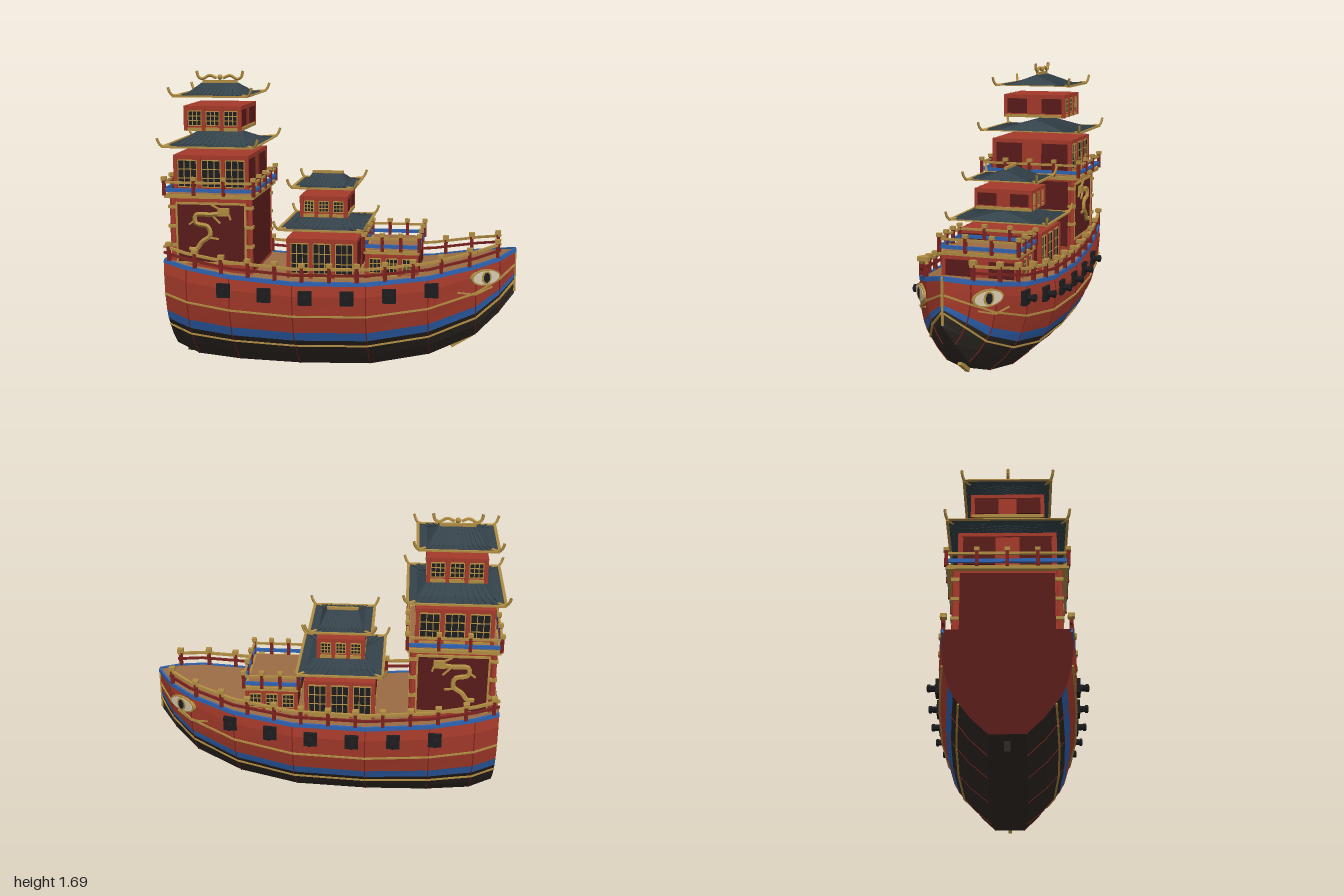
import * as THREE from 'three';

const C = { red: 0xa53a2a, dark: 0x5a1c1a, gold: 0xb08c42, roof: 0x35434b, blue: 0x2f64b4, hull: 0x2e2823,
  deck: 0x9a6c44, black: 0x1d1d20, post: 0x7c221f, cream: 0xd8cbb0 };
const mats = {};
const mat = (c) => (mats[c] ??= new THREE.MeshStandardMaterial({ color: C[c], flatShading: true, side: THREE.DoubleSide }));
const V = (x, y, z) => new THREE.Vector3(x, y, z);

function add(parent, name, geo, color, x = 0, y = 0, z = 0) {
  const m = new THREE.Mesh(geo, mat(color));
  m.name = name;
  m.position.set(x, y, z);
  parent.add(m);
  return m;
}
const box = (p, name, color, w, h, d, x, y, z) => add(p, name, new THREE.BoxGeometry(w, h, d), color, x, y, z);

// square bar between two points
function beam(p, name, color, a, b, h, d = h) {
  const m = box(p, name, color, d, h, a.distanceTo(b), 0, 0, 0);
  m.position.copy(a).add(b).multiplyScalar(0.5);
  m.lookAt(b);
  return m;
}
const chain = (p, name, color, pts, h, d) => pts.slice(1).forEach((b, i) => beam(p, name, color, pts[i], b, h, d));
const tube = (p, name, color, pts, r, n = 8) =>
  add(p, name, new THREE.TubeGeometry(new THREE.CatmullRomCurve3(pts), n, r, 5), color);

// surface between two rows of points
function strip(p, name, color, A, B) {
  const pos = [];
  for (let i = 0; i < A.length - 1; i++)
    for (const v of [A[i], A[i + 1], B[i + 1], A[i], B[i + 1], B[i]]) pos.push(v.x, v.y, v.z);
  const g = new THREE.BufferGeometry();
  g.setAttribute('position', new THREE.Float32BufferAttribute(pos, 3));
  g.computeVertexNormals();
  return add(p, name, g, color);
}

// hull stations: x, keel height, rail height, half beam
const ST = [[-0.98, 0.09, 0.645, 0.32], [-0.85, 0.03, 0.61, 0.335], [-0.6, 0.008, 0.57, 0.355], [-0.24, 0, 0.545, 0.365],
  [0.17, 0.012, 0.55, 0.35], [0.51, 0.08, 0.585, 0.295], [0.77, 0.2, 0.64, 0.21], [0.9, 0.33, 0.67, 0.12], [0.985, 0.44, 0.7, 0.004]];
// section profile: fraction of height, fraction of beam
const PROFILE = [[0, 0.28], [0.15, 0.55], [0.35, 0.81], [0.45, 0.89], [0.65, 0.98], [0.85, 1.01], [1, 0.98]];
const XS = ST.map((s) => s[0]);

function lerpRow(rows, v) {
  let i = 0;
  while (i < rows.length - 2 && v > rows[i + 1][0]) i++;
  const k = (v - rows[i][0]) / (rows[i + 1][0] - rows[i][0]);
  return rows[i].map((a, j) => a + (rows[i + 1][j] - a) * k);
}
function hullPoint(x, t, s, up = 0, out = 0) {
  const [, k, top, w] = lerpRow(ST, x);
  return V(x, k + (top - k) * t + up, s * (w * lerpRow(PROFILE, t)[1] + out));
}
const line = (t, s, up, out) => XS.map((x) => hullPoint(x, t, s, up, out));

function makeHull(g) {
  const colors = ['hull', 'hull', 'blue', 'red', 'red', 'red'];
  for (const s of [1, -1]) {
    colors.forEach((c, i) => {
      const a = line(PROFILE[i][0], s), b = line(PROFILE[i + 1][0], s);
      s > 0 ? strip(g, 'hullPlanking', c, a, b) : strip(g, 'hullPlanking', c, b, a);
    });
    for (const t of [0.28, 0.64]) chain(g, 'hullTrim', 'gold', line(t, s, 0, 0.004), 0.01);
    chain(g, 'gunwale', 'blue', line(1, s, -0.008, 0.002), 0.024, 0.012);
    XS.slice(1, -1).forEach((x) => chain(g, 'hullSeam', 'post', PROFILE.map(([t]) => hullPoint(x, t, s)), 0.005));
    // bulwark rail
    chain(g, 'upperRail', 'gold', line(1, s, 0.075).slice(0, -1), 0.014, 0.018);
    chain(g, 'lowerRail', 'post', line(1, s, 0.04).slice(0, -1), 0.014, 0.012);
    for (let i = 0; i < 13; i++) {
      const q = hullPoint(-0.95 + i * 0.153, 1, s);
      box(g, 'railPost', 'post', 0.02, 0.09, 0.02, q.x, q.y + 0.045, q.z);
      box(g, 'railCap', 'gold', 0.034, 0.022, 0.034, q.x, q.y + 0.095, q.z);
    }
    // gun ports
    for (let i = 0; i < 6; i++) {
      const q = hullPoint(-0.63 + i * 0.232, 0.84, s);
      box(g, 'gunPort', 'black', 0.075, 0.08, 0.03, q.x, q.y, q.z);
      const barrel = add(g, 'cannon', new THREE.CylinderGeometry(0.017, 0.021, 0.09, 8), 'black', q.x, q.y, q.z + s * 0.015);
      barrel.rotation.x = s * Math.PI / 2;
      const muzzle = add(g, 'cannonMuzzle', new THREE.CylinderGeometry(0.022, 0.022, 0.015, 8), 'black', q.x, q.y, q.z + s * 0.05);
      muzzle.rotation.x = Math.PI / 2;
    }
    // painted eye
    const eye = new THREE.Group();
    eye.name = 'bowEye';
    eye.position.copy(hullPoint(0.82, 0.79, s, 0, 0.004));
    const turn = 0.62;
    eye.rotation.y = s > 0 ? turn : Math.PI - turn;
    [['gold', 0.096, 0.046, 0.02], ['cream', 0.086, 0.038, 0.026], ['gold', 0.032, 0.036, 0.032], ['black', 0.02, 0.028, 0.038]]
      .forEach(([c, rx, ry, d]) => add(eye, 'eyeLayer', new THREE.CylinderGeometry(1, 1, 1, 20).rotateX(Math.PI / 2), c).scale.set(rx, ry, d));
    g.add(eye);
    chain(g, 'eyeTrim', 'gold', [hullPoint(0.67, 0.72, s, 0, 0.004), hullPoint(0.77, 0.62, s, 0, 0.004), hullPoint(0.86, 0.58, s, 0, 0.004)], 0.008);
  }
  strip(g, 'hullBottom', 'hull', line(0, -1), line(0, 1));
  strip(g, 'mainDeck', 'deck', line(1, 1, -0.004), line(1, -1, -0.004));
  const stern = (s) => PROFILE.map(([t]) => hullPoint(-0.98, t, s));
  strip(g, 'transom', 'dark', stern(1), stern(-1));
  beam(g, 'stem', 'gold', V(0.985, 0.45, 0), V(0.985, 0.7, 0), 0.012);
  beam(g, 'foreKeel', 'gold', V(0.63, 0.11, 0), V(0.75, 0.185, 0), 0.022);
  box(g, 'rudder', 'hull', 0.08, 0.09, 0.03, -0.9, 0.065, 0);
}

// one storey with lattice windows on the sides and panels on the ends
function storey(g, cx, y0, y1, hx, hz, n = 3) {
  const h = y1 - y0, my = (y0 + y1) / 2;
  box(g, 'cabinWall', 'red', hx * 2 - 0.02, h, hz * 2 - 0.02, cx, my, 0);
  box(g, 'wallSill', 'gold', hx * 2, 0.018, hz * 2, cx, y0 + 0.009, 0);
  box(g, 'wallHead', 'red', hx * 2, 0.02, hz * 2, cx, y1 - 0.01, 0);
  for (const s of [1, -1]) {
    for (let i = 0; i <= n; i++) box(g, 'wallPost', 'red', 0.02, h, 0.02, cx - hx + 0.01 + i * (hx * 2 - 0.02) / n, my, s * (hz - 0.006));
    const step = (hx * 2 - 0.02) / n, w = step - 0.03, wh = h - 0.06;
    for (let i = 0; i < n; i++) {
      const x = cx - hx + 0.01 + step * (i + 0.5), z = s * (hz - 0.009);
      box(g, 'window', 'black', w, wh, 0.01, x, my, z);
      for (let k = 0; k < 4; k++) box(g, 'lattice', 'gold', 0.005, wh, 0.016, x - w / 2 + k * w / 3, my, z);
      for (let k = 0; k < 4; k++) box(g, 'lattice', 'gold', w, 0.005, 0.016, x, my - wh / 2 + k * wh / 3, z);
    }
    for (const e of [1, -1]) box(g, 'endPanel', 'dark', 0.012, h - 0.05, hz * 0.66, cx + e * (hx - 0.008), my, s * hz * 0.58);
  }
}

// hipped tile roof with a flat flared rim and upturned corners
function roof(g, cx, y, hx, hz, rise) {
  const ring = (a, b, h) => [[-a, b], [a, b], [a, -b], [-a, -b], [-a, b]].map(([x, z]) => V(cx + x, y + h, z));
  const ix = hx - 0.05, iz = hz * 0.66, r = hx * 0.48;
  const outer = ring(hx, hz, 0), inner = ring(ix, iz, 0.004), ridge = ring(r, 0, rise);
  strip(g, 'roofRim', 'roof', outer, inner);
  strip(g, 'roofSlope', 'roof', inner, ridge);
  for (const s of [1, -1]) {
    beam(g, 'eaveTrim', 'gold', V(cx - hx, y, s * hz), V(cx + hx, y, s * hz), 0.01, 0.014);
    box(g, 'eaveTrim', 'gold', 0.016, 0.005, hz * 2, cx + s * hx, y + 0.002, 0);
    for (const e of [1, -1])
      tube(g, 'roofHorn', 'gold', [V(cx + e * (hx - 0.04), y + 0.004, s * (hz - 0.03)), V(cx + e * hx, y + 0.006, s * hz),
        V(cx + e * (hx + 0.014), y + 0.025, s * (hz + 0.008)), V(cx + e * (hx + 0.022), y + 0.05, s * (hz + 0.012))], 0.008);
    for (let i = 0; i < 13; i++) {
      const k = i / 6 - 1;
      const a = V(cx + k * hx * 0.94, y + 0.002, s * hz), b = V(cx + k * ix * 0.95, y + 0.006, s * iz), c = V(cx + k * r, y + rise, 0);
      chain(g, 'tileRib', 'roof', [a, b, c], 0.005);
    }
  }
}

// balustrade round a platform
function railing(g, cx, y, hx, hz, nx, nz) {
  box(g, 'platform', 'gold', hx * 2, 0.022, hz * 2, cx, y, 0);
  box(g, 'platformDeck', 'deck', hx * 2 - 0.03, 0.004, hz * 2 - 0.03, cx, y + 0.012, 0);
  const post = (x, z) => {
    box(g, 'balusterPost', 'post', 0.018, 0.09, 0.018, x, y + 0.05, z);
    box(g, 'balusterCap', 'gold', 0.028, 0.02, 0.028, x, y + 0.1, z);
  };
  for (const s of [1, -1]) {
    for (const [c, dy, h] of [['gold', 0.078, 0.013], ['blue', 0.035, 0.02]]) {
      box(g, 'balustradeRail', c, hx * 2, h, 0.012, cx, y + dy, s * hz);
      box(g, 'balustradeRail', c, 0.012, h, hz * 2, cx + s * hx, y + dy, 0);
    }
    for (let i = 0; i <= nx; i++) post(cx - hx + i * 2 * hx / nx, s * hz);
    for (let i = 1; i < nz; i++) post(cx + s * hx, -hz + i * 2 * hz / nz);
  }
}

function makeTower(g) {
  const cx = -0.715;
  box(g, 'towerBase', 'red', 0.46, 0.45, 0.53, cx, 0.78, 0);
  for (const e of [1, -1]) box(g, 'towerEndPanel', 'dark', 0.012, 0.4, 0.48, cx + e * 0.228, 0.78, 0);
  for (const s of [1, -1]) {
    box(g, 'towerPanel', 'dark', 0.39, 0.34, 0.012, cx, 0.79, s * 0.264);
    for (const dy of [-0.17, 0.17]) box(g, 'panelFrame', 'gold', 0.4, 0.012, 0.02, cx, 0.79 + dy, s * 0.266);
    for (const e of [1, -1]) {
      box(g, 'panelFrame', 'gold', 0.01, 0.34, 0.02, cx + e * 0.197, 0.79, s * 0.266);
      add(g, 'towerPillar', new THREE.CylinderGeometry(0.016, 0.016, 0.43, 8), 'red', cx + e * 0.222, 0.78, s * 0.262);
      for (const y of [0.72, 0.83, 0.94]) box(g, 'pillarBand', 'gold', 0.042, 0.018, 0.042, cx + e * 0.222, y, s * 0.262);
    }
    // serpent relief
    const z = s * 0.276;
    tube(g, 'serpentBody', 'gold', [[-0.64, 0.91], [-0.71, 0.9], [-0.8, 0.895], [-0.8, 0.85], [-0.73, 0.83], [-0.72, 0.78], [-0.77, 0.74], [-0.8, 0.7], [-0.84, 0.7]]
      .map(([x, y]) => V(x, y, z)), 0.014, 28);
    box(g, 'serpentHead', 'gold', 0.065, 0.045, 0.024, -0.64, 0.915, z);
    [[-0.66, 0.93, -0.71, 0.955], [-0.61, 0.9, -0.6, 0.87], [-0.7, 0.89, -0.66, 0.85], [-0.74, 0.77, -0.67, 0.76], [-0.8, 0.87, -0.84, 0.84]]
      .forEach(([a, b, c, d]) => beam(g, 'serpentLimb', 'gold', V(a, b, z), V(c, d, z), 0.01));
  }
  railing(g, cx, 1.005, 0.255, 0.31, 3, 4);
  storey(g, cx, 1.02, 1.23, 0.215, 0.25);
  roof(g, cx, 1.28, 0.262, 0.31, 0.065);
  storey(g, cx, 1.36, 1.5, 0.165, 0.19);
  roof(g, cx, 1.555, 0.215, 0.23, 0.062);
  // ridge finial
  box(g, 'ridgeBar', 'gold', 0.2, 0.016, 0.016, cx, 1.625, 0);
  add(g, 'ridgePearl', new THREE.SphereGeometry(0.016, 8, 6), 'gold', cx, 1.65, 0);
  for (const e of [1, -1])
    tube(g, 'ridgeHorn', 'gold', [[0.02, 1.645], [0.06, 1.66], [0.1, 1.64], [0.125, 1.65], [0.135, 1.685]].map(([x, y]) => V(cx + e * x, y, 0)), 0.009, 12);
}

function makeCabin(g) {
  const cx = -0.09;
  storey(g, cx, 0.54, 0.77, 0.2, 0.245);
  roof(g, cx, 0.825, 0.24, 0.29, 0.05);
  storey(g, cx, 0.88, 1, 0.135, 0.17);
  roof(g, cx, 1.05, 0.175, 0.21, 0.06);
  box(g, 'ridgeBar', 'gold', 0.18, 0.016, 0.016, cx, 1.115, 0);
}

function makeDeckhouse(g) {
  storey(g, 0.3, 0.55, 0.69, 0.15, 0.215);
  railing(g, 0.3, 0.7, 0.155, 0.228, 3, 3);
}

export function createModel() {
  const ship = new THREE.Group();
  ship.name = 'ship';
  for (const [name, make] of [['hull', makeHull], ['sternTower', makeTower], ['midCabin', makeCabin], ['foreDeckhouse', makeDeckhouse]]) {
    const g = new THREE.Group();
    g.name = name;
    make(g);
    ship.add(g);
  }
  return ship;
}
